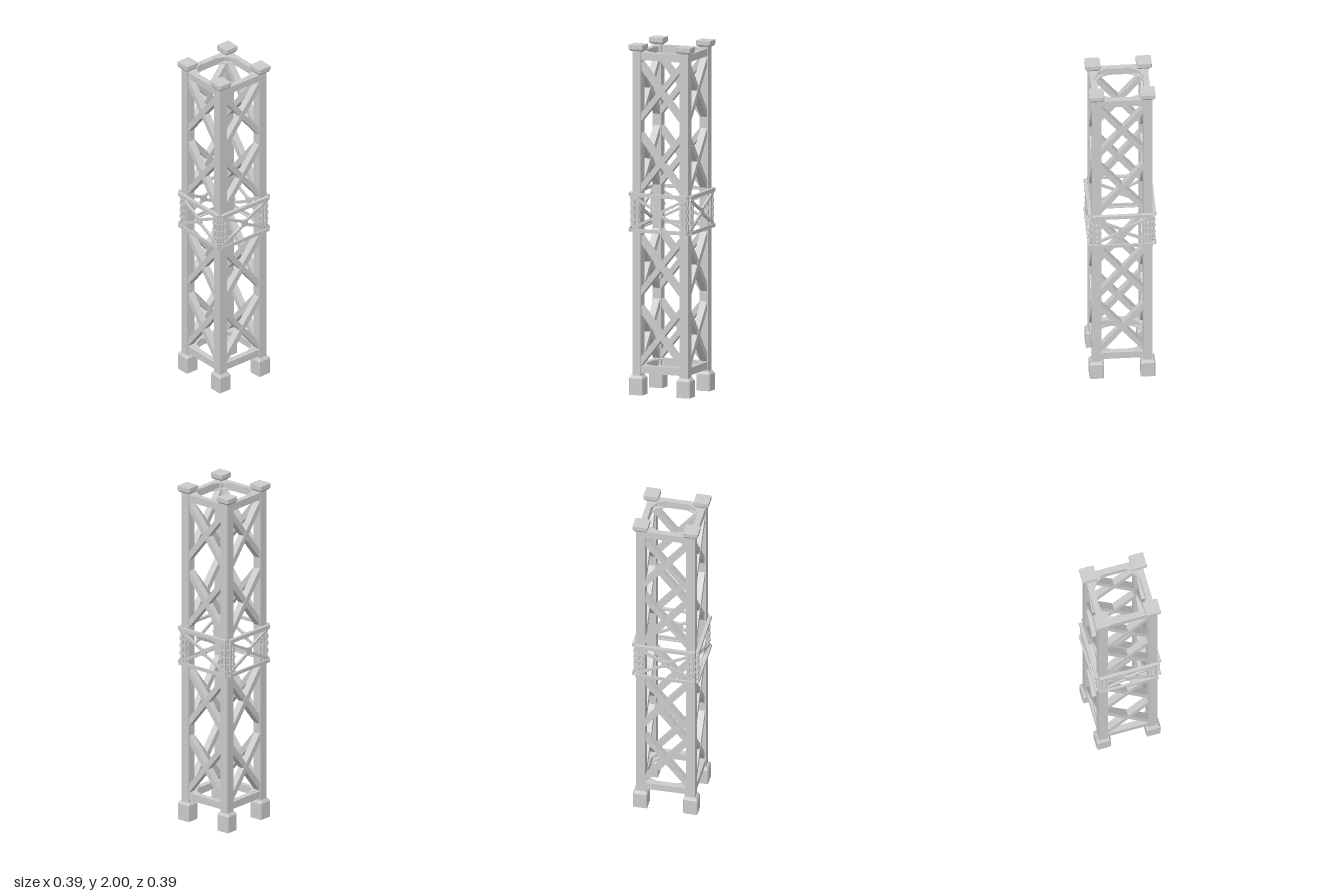
import * as THREE from 'three';

const mat = new THREE.MeshStandardMaterial({ color: 0xcccccc, flatShading: true });
const POST = 0.145; // distance of each post from the axis

function add(parent, name, geometry, x = 0, y = 0, z = 0) {
  const mesh = new THREE.Mesh(geometry, mat);
  mesh.name = name;
  mesh.position.set(x, y, z);
  parent.add(mesh);
  return mesh;
}

const box = (parent, name, w, h, d, x, y, z) => add(parent, name, new THREE.BoxGeometry(w, h, d), x, y, z);

// Straight bar in a face plane, running from (x0, y0) to (x1, y1)
function bar(parent, name, x0, y0, x1, y1, width, depth, z) {
  const length = Math.hypot(x1 - x0, y1 - y0);
  const mesh = box(parent, name, length, width, depth, (x0 + x1) / 2, (y0 + y1) / 2, z);
  mesh.rotation.z = Math.atan2(y1 - y0, x1 - x0);
}

// Square block with clipped corners; its half-width changes from a to b going up
function block(parent, name, y0, y1, a, b, x, z) {
  const c = 0.88;
  const shape = new THREE.Shape([
    [1, -c], [1, c], [c, 1], [-c, 1], [-1, c], [-1, -c], [-c, -1], [c, -1],
  ].map(([u, v]) => new THREE.Vector2(u, v)));
  const geometry = new THREE.ExtrudeGeometry(shape, { depth: y1 - y0, bevelEnabled: false });
  geometry.rotateX(-Math.PI / 2);
  const p = geometry.attributes.position;
  for (let i = 0; i < p.count; i++) {
    const s = p.getY(i) > (y1 - y0) / 2 ? b : a;
    p.setX(i, p.getX(i) * s);
    p.setZ(i, p.getZ(i) * s);
  }
  geometry.computeVertexNormals();
  add(parent, name, geometry, x, y0, z);
}

// Horizontal corner plate that stiffens the end frames
function cornerPlateGeometry() {
  const shape = new THREE.Shape();
  shape.moveTo(0.148, 0.148);
  shape.lineTo(0.042, 0.148);
  shape.lineTo(0.042, 0.14);
  shape.quadraticCurveTo(0.09, 0.122, 0.108, 0.108);
  shape.quadraticCurveTo(0.122, 0.09, 0.14, 0.042);
  shape.lineTo(0.148, 0.042);
  const geometry = new THREE.ExtrudeGeometry(shape, { depth: 0.006, bevelEnabled: false, curveSegments: 4 });
  return geometry.rotateX(Math.PI / 2);
}

// One corner: post, foot, cap, plates and the clamp of the middle collar
function buildCorner() {
  const corner = new THREE.Group();
  corner.name = 'corner';
  box(corner, 'post', 0.052, 1.9, 0.052, POST, 1.04, POST);
  block(corner, 'foot', 0, 0.095, 0.041, 0.041, POST, POST);
  block(corner, 'footShoulder', 0.095, 0.11, 0.041, 0.032, POST, POST);
  block(corner, 'capTaper', 1.965, 1.976, 0.036, 0.043, POST, POST);
  block(corner, 'cap', 1.976, 2, 0.043, 0.043, POST, POST);

  const plate = cornerPlateGeometry();
  for (const y of [0.128, 0.168, 1.918, 1.958]) add(corner, 'cornerPlate', plate, 0, y, 0);

  // Clamp struts and bolts on the two outer sides of the post
  for (const turned of [false, true]) {
    const clamp = new THREE.Group();
    clamp.name = 'clamp';
    for (const x of [0.133, 0.157]) box(clamp, 'clampStrut', 0.012, 0.19, 0.012, x, 1.043, 0.179);
    for (const y of [1.0, 1.043, 1.086]) {
      box(clamp, 'clampBand', 0.05, 0.012, 0.016, POST, y, 0.178);
      const bolt = add(clamp, 'bolt', new THREE.CylinderGeometry(0.006, 0.006, 0.02, 6), POST, y, 0.182);
      bolt.rotation.x = Math.PI / 2;
    }
    if (turned) {
      // swap x and z by turning a quarter and mirroring across the corner
      clamp.rotation.y = Math.PI / 2;
      clamp.children.forEach((m) => { m.position.x *= -1; });
    }
    corner.add(clamp);
  }
  return corner;
}

// One face: end beams, crossed braces and a side of the collar
function buildFace() {
  const face = new THREE.Group();
  face.name = 'face';

  // Channel-like end beams
  for (const y of [0.145, 1.935]) box(face, 'endBeam', 0.25, 0.042, 0.034, 0, y, 0.15);

  // Crossed braces, two panels below and two above the collar
  for (const y of [0.34, 0.74, 1.33, 1.735]) {
    for (const s of [-1, 1]) {
      bar(face, 'brace', -0.13, y - s * 0.16, 0.13, y + s * 0.16, 0.032, 0.04, 0.144 + s * 0.001);
    }
  }

  // Collar rails: upright strip with a narrow inward flange
  for (const s of [-1, 1]) {
    const y = 1.043 + s * 0.101;
    box(face, 'collarRail', 0.345, 0.02, 0.008, 0, y, 0.189);
    box(face, 'railFlange', 0.345, 0.006, 0.018, 0, y + s * 0.008, 0.183);
  }

  // Collar lattice
  box(face, 'latticeHub', 0.042, 0.042, 0.014, 0, 1.043, 0.181);
  for (const sx of [-1, 1]) {
    for (const sy of [-1, 1]) {
      bar(face, 'latticeArm', sx * 0.01, 1.043 + sy * 0.012, sx * 0.165, 1.043 + sy * 0.088, 0.015, 0.012, 0.181);
    }
  }
  return face;
}

export function createModel() {
  const tower = new THREE.Group();
  tower.name = 'latticeTower';
  for (let i = 0; i < 4; i++) {
    const side = new THREE.Group();
    side.name = 'side';
    side.add(buildCorner(), buildFace());
    side.rotation.y = (i * Math.PI) / 2;
    tower.add(side);
  }
  return tower;
}
